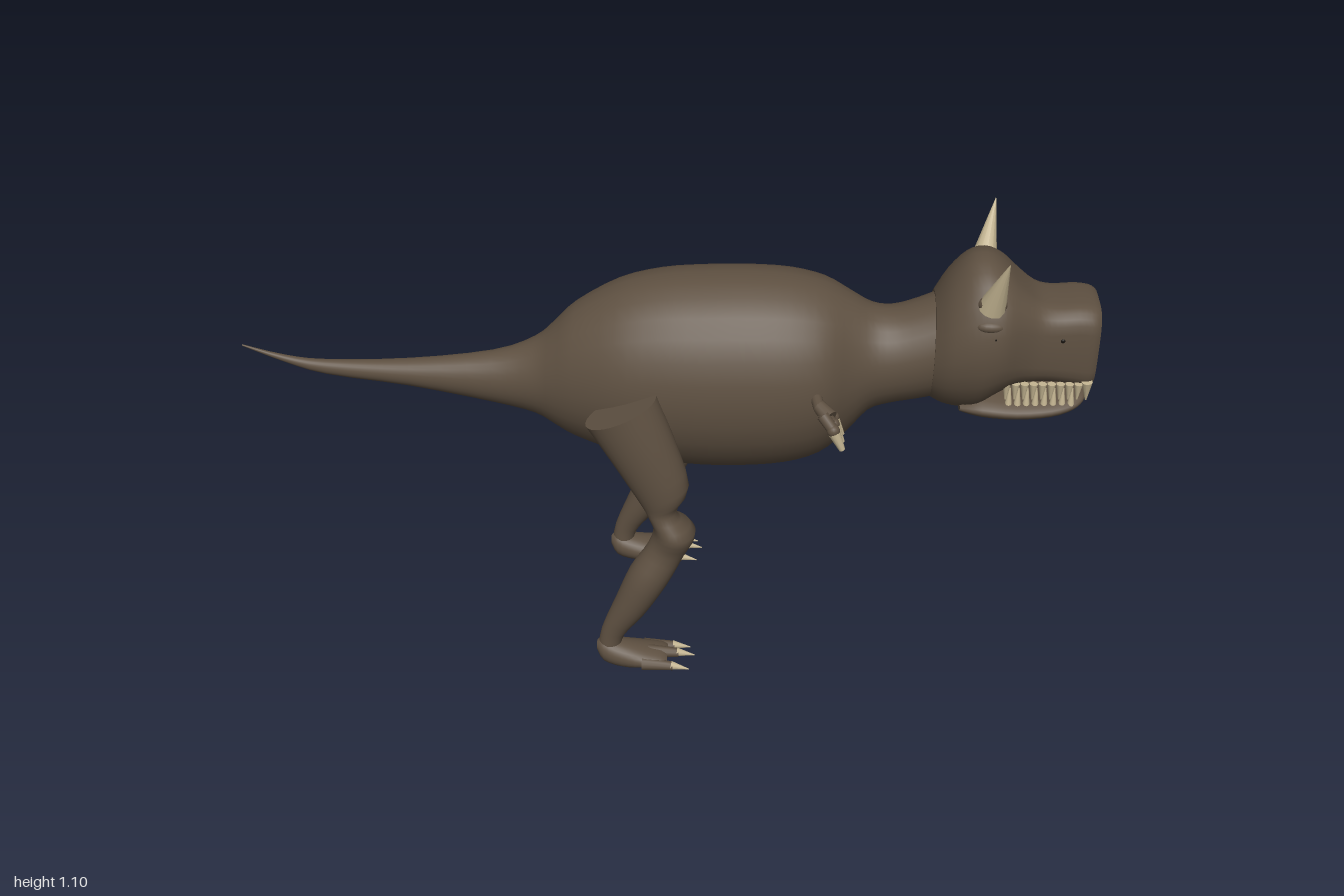
import * as THREE from 'three';

const hide = new THREE.MeshStandardMaterial({ name: 'brown hide', color: 0x5e5041, side: THREE.DoubleSide });
const ivory = new THREE.MeshStandardMaterial({ name: 'ivory', color: 0xc4b592 });
const dark = new THREE.MeshStandardMaterial({ name: 'dark pupil', color: 0x17130f });
const SIDES = 28;

function add(group, name, geometry, material) {
  const mesh = new THREE.Mesh(geometry, material);
  mesh.name = name;
  group.add(mesh);
  return mesh;
}

// Smooth in-between sections (Catmull-Rom on every column)
function refine(rows, steps) {
  const out = [];
  const at = i => rows[Math.max(0, Math.min(rows.length - 1, i))];
  for (let i = 0; i < rows.length - 1; i++) {
    for (let s = 0; s < steps; s++) {
      const t = s / steps;
      out.push(rows[i].map((b, k) => {
        const a = at(i - 1)[k], c = at(i + 1)[k], d = at(i + 2)[k];
        return b + 0.5 * t * (c - a + t * (2 * a - 5 * b + 4 * c - d + t * (3 * (b - c) + d - a)));
      }));
    }
  }
  out.push(rows[rows.length - 1]);
  return out;
}

// Skin through rings [x, y, z, radius in the xy plane, radius in z, tilt in degrees, roundness power]
function loft(rows) {
  const pos = [], idx = [];
  const ring = ([x, y, z, ru, rz, tilt, power = 2]) => {
    const T = THREE.MathUtils.degToRad(tilt);
    for (let j = 0; j < SIDES; j++) {
      const a = j / SIDES * Math.PI * 2;
      const soft = v => Math.sign(v) * Math.pow(Math.abs(v), 2 / power);
      const u = soft(Math.cos(a)) * ru;
      pos.push(x + u * Math.cos(T), y + u * Math.sin(T), z + soft(Math.sin(a)) * rz);
    }
  };
  rows.forEach(ring);
  for (let i = 0; i < rows.length - 1; i++) {
    for (let j = 0; j < SIDES; j++) {
      const a = i * SIDES + j, b = i * SIDES + (j + 1) % SIDES;
      idx.push(a, b, b + SIDES, a, b + SIDES, a + SIDES);
    }
  }
  // end caps with their own vertices, so the rims stay sharp
  [rows[0], rows[rows.length - 1]].forEach((row, end) => {
    const start = pos.length / 3;
    ring(row);
    pos.push(row[0], row[1], row[2]);
    for (let j = 0; j < SIDES; j++) {
      const a = start + j, b = start + (j + 1) % SIDES;
      idx.push(start + SIDES, end ? a : b, end ? b : a);
    }
  });
  const g = new THREE.BufferGeometry();
  g.setAttribute('position', new THREE.Float32BufferAttribute(pos, 3));
  g.setIndex(idx);
  g.computeVertexNormals();
  return g;
}

// Lengthwise profile rows [x, top, bottom, half width, power]
const along = rows => rows.map(([x, top, bottom, w, p = 2]) =>
  [x, (top + bottom) / 2, 0, (top - bottom) / 2, w, 90, p]);

// Tapered round piece between two points
function spike(group, name, from, to, r0, r1, material) {
  const a = new THREE.Vector3(...from), b = new THREE.Vector3(...to);
  const dir = b.clone().sub(a);
  const mesh = add(group, name, new THREE.CylinderGeometry(r1, r0, dir.length(), 12), material);
  mesh.position.copy(a).add(b).multiplyScalar(0.5);
  mesh.quaternion.setFromUnitVectors(new THREE.Vector3(0, 1, 0), dir.normalize());
  return mesh;
}

function ball(group, name, p, scale, material) {
  const mesh = add(group, name, new THREE.SphereGeometry(1, 16, 12), material);
  mesh.position.set(...p);
  mesh.scale.set(...scale);
  return mesh;
}

function buildLeg(s) {
  const leg = new THREE.Group();
  leg.name = s > 0 ? 'rightLeg' : 'leftLeg';
  const thigh = [
    [-0.08, 0.72, 0.2, 0.09, 0.065, 25],
    [-0.03, 0.62, 0.205, 0.079, 0.06, 25],
    [0.02, 0.505, 0.212, 0.063, 0.048, 22]];
  // one knee is pinched, the other runs straight into the thigh
  const knee = s > 0
    ? [[0.015, 0.452, 0.22, 0.034, 0.031, 8], [0.045, 0.4, 0.208, 0.05, 0.062, -5]]
    : [[0.036, 0.45, 0.206, 0.06, 0.058, 8], [0.045, 0.4, 0.21, 0.05, 0.058, -5]];
  const shin = [
    [0.025, 0.345, 0.215, 0.045, 0.041, -18],
    [-0.016, 0.27, 0.22, 0.049, 0.048, -26],
    [-0.06, 0.18, 0.221, 0.041, 0.04, -26],
    [-0.103, 0.1, 0.222, 0.029, 0.025, -18],
    [-0.113, 0.045, 0.222, 0.027, 0.025, 0]];
  const place = rows => rows.map(([x, y, z, ...rest]) => [x, y, z * s, ...rest]);
  add(leg, 'legSkin', loft(refine(place([...thigh, ...knee, ...shin]), 3)), hide);
  add(leg, 'foot', loft(refine(place([
    [-0.143, 0.055, 0.222, 0.012, 0.012, 90],
    [-0.125, 0.045, 0.222, 0.033, 0.03, 90],
    [-0.08, 0.035, 0.223, 0.034, 0.04, 90],
    [-0.03, 0.034, 0.225, 0.026, 0.047, 90],
    [0.015, 0.036, 0.225, 0.016, 0.044, 90],
    [0.03, 0.036, 0.225, 0.008, 0.036, 90]]), 3)), hide);
  for (const k of [-1, 0, 1]) {
    const z = s * 0.225 + k * 0.036, y = k ? 0.032 : 0.042, x = k ? 0 : 0.012;
    spike(leg, 'toe', [x - 0.03, y, z], [x + 0.045, y - 0.002, z + k * 0.004], 0.017, 0.011, hide);
    spike(leg, 'toeClaw', [x + 0.04, y, z + k * 0.004], [x + 0.085, y - 0.008, z + k * 0.007], 0.011, 0.001, ivory);
  }
  return leg;
}

function buildArm(s) {
  const arm = new THREE.Group();
  arm.name = s > 0 ? 'rightArm' : 'leftArm';
  spike(arm, 'upperArm', [0.36, 0.755, s * 0.15], [0.372, 0.745, s * 0.215], 0.014, 0.013, hide);
  spike(arm, 'forearm', [0.37, 0.75, s * 0.205], [0.395, 0.735, s * 0.23], 0.016, 0.02, hide);
  for (const k of [-1, 0, 1]) {
    const z = s * 0.227 + k * 0.029;
    spike(arm, 'finger', [0.378, 0.745, s * 0.225 + k * 0.012], [0.405, 0.715, z], 0.014, 0.013, hide);
    ball(arm, 'knuckle', [0.403, 0.717, z], [0.015, 0.015, 0.014], hide);
    spike(arm, 'fingerClaw', [0.405, 0.712, z], [0.425, 0.67, z + k * 0.004], 0.014, 0.007, ivory);
  }
  return arm;
}

function buildHead() {
  const head = new THREE.Group();
  head.name = 'head';
  add(head, 'skullAndSnout', loft(refine(along([
    [0.63, 0.935, 0.68, 0.112], [0.66, 0.99, 0.665, 0.135], [0.7, 1.035, 0.658, 0.15],
    [0.74, 1.045, 0.668, 0.155, 2.1], [0.78, 1.025, 0.705, 0.15, 2.3], [0.82, 0.985, 0.735, 0.126, 2.8],
    [0.86, 0.953, 0.743, 0.106, 3.3], [0.9, 0.944, 0.745, 0.099, 3.6], [0.95, 0.948, 0.74, 0.097, 3.8],
    [0.985, 0.945, 0.734, 0.094, 3.8], [1, 0.937, 0.74, 0.085, 3.8]]), 3)), hide);
  add(head, 'lowerJaw', loft(refine(along([
    [0.7, 0.7, 0.662, 0.09], [0.75, 0.718, 0.65, 0.11], [0.83, 0.713, 0.647, 0.112],
    [0.91, 0.715, 0.654, 0.104], [0.96, 0.72, 0.668, 0.088], [0.985, 0.722, 0.685, 0.065],
    [0.99, 0.718, 0.695, 0.04]]), 3)), hide);
  for (const s of [-1, 1]) {
    spike(head, 'horn', [0.746, 0.965, s * 0.113], [0.768, 1.1, s * 0.17], 0.032, 0.001, ivory);
    ball(head, 'hornBase', [0.747, 0.972, s * 0.11], [0.034, 0.022, 0.032], hide);
    ball(head, 'brow', [0.745, 0.927, s * 0.132], [0.034, 0.015, 0.018], hide);
    ball(head, 'eye', [0.752, 0.902, s * 0.137], [0.014, 0.014, 0.014], ivory);
    ball(head, 'pupil', [0.757, 0.902, s * 0.1465], [0.006, 0.007, 0.005], dark);
    ball(head, 'nostril', [0.915, 0.875, s * 0.097], [0.005, 0.005, 0.003], dark);
    // interlocking teeth along both jaws
    for (let i = 0; i < 9; i++) {
      const x = 0.8 + i * 0.0205, z = s * (0.098 - i * 0.001);
      spike(head, 'upperTooth', [x, 0.76, z], [x, 0.719, z], 0.01, 0.002, ivory);
      if (i < 8) spike(head, 'lowerTooth', [x + 0.01, 0.695, z * 0.88], [x + 0.01, 0.742, z * 0.88], 0.009, 0.002, ivory);
    }
    spike(head, 'frontFang', [0.983, 0.765, s * 0.087], [0.986, 0.715, s * 0.083], 0.013, 0.002, ivory);
  }
  return head;
}

export function createModel() {
  const model = new THREE.Group();
  model.name = 'hornedDinosaur';
  // tail, trunk and neck
  add(model, 'body', loft(refine(along([
    [-1, 0.748, 0.744, 0.002], [-0.9, 0.722, 0.704, 0.009], [-0.8, 0.712, 0.675, 0.017],
    [-0.6, 0.72, 0.652, 0.032], [-0.4, 0.748, 0.616, 0.052], [-0.3, 0.786, 0.594, 0.078],
    [-0.25, 0.83, 0.567, 0.105], [-0.2, 0.88, 0.54, 0.133], [-0.1, 0.938, 0.508, 0.175],
    [0, 0.966, 0.488, 0.193], [0.1, 0.976, 0.48, 0.2], [0.2, 0.98, 0.482, 0.2],
    [0.3, 0.976, 0.494, 0.194], [0.38, 0.958, 0.522, 0.175], [0.44, 0.928, 0.572, 0.132],
    [0.49, 0.9, 0.634, 0.108], [0.54, 0.895, 0.656, 0.105], [0.6, 0.915, 0.67, 0.108],
    [0.66, 0.945, 0.685, 0.11]]), 3)), hide);
  model.add(buildHead());
  for (const s of [-1, 1]) model.add(buildLeg(s), buildArm(s));
  return model;
}
